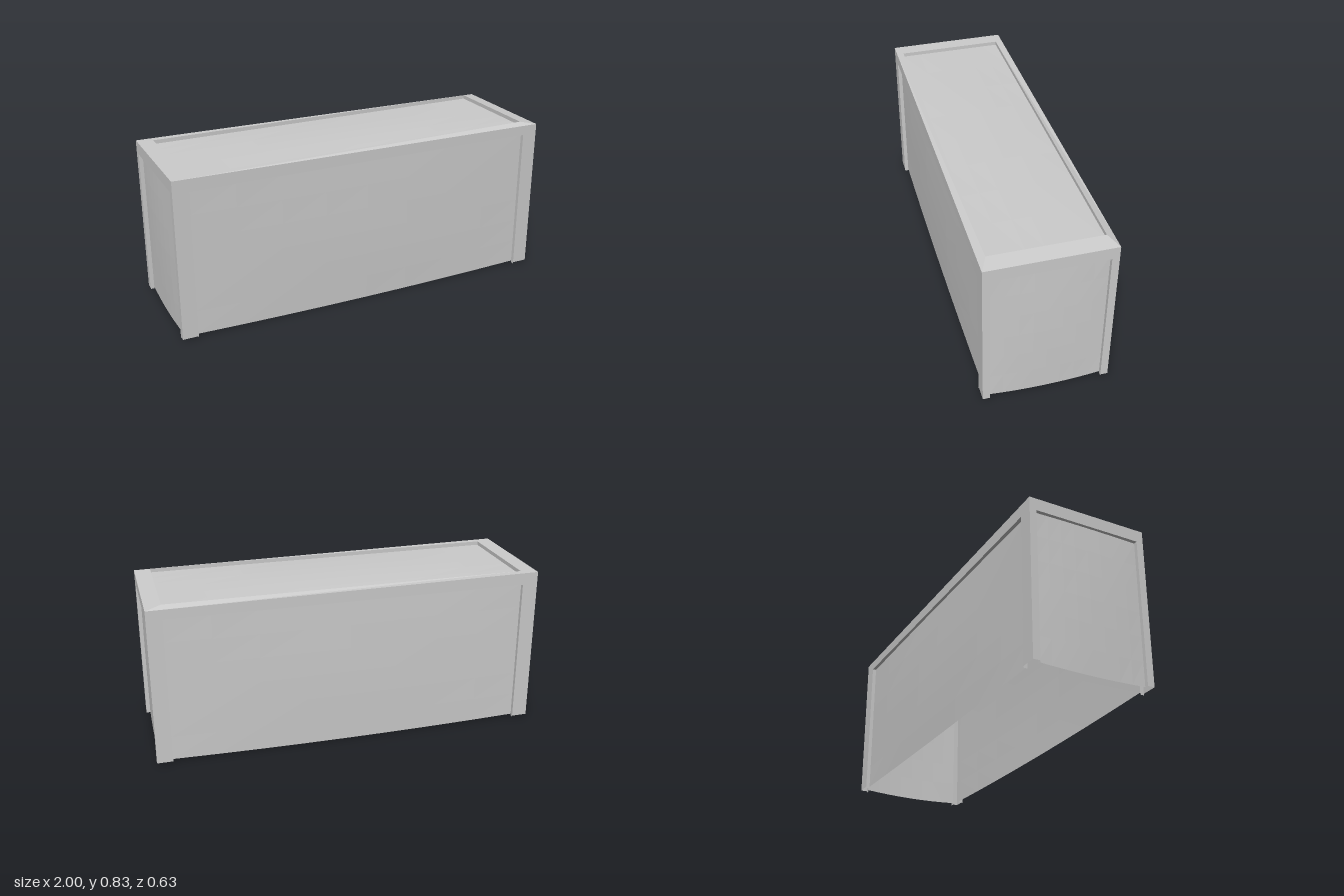
import * as THREE from 'three';

const W = 2, D = 0.626, H = 0.827;   // overall width, depth, height
const RECESS = 0.02;                 // how far panels sit behind the frame

const material = new THREE.MeshStandardMaterial({
  color: 0xcccccc, flatShading: true, side: THREE.DoubleSide,
});

// Rim sags slightly towards the left end
function sag(geometry) {
  const p = geometry.attributes.position;
  for (let i = 0; i < p.count; i++) {
    const t = THREE.MathUtils.clamp((p.getX(i) - 0.92) / 0.08, 0, 1);
    p.setY(i, p.getY(i) - 0.013 * t * p.getY(i) / H);
  }
  geometry.computeVertexNormals();
  return geometry;
}

// One face of the thin shell: flat border, narrow reveal and a softly bowed
// recessed panel. Drawn in XY facing +z, standing on y = 0, then placed by matrix.
function shellFace(name, w, h, side, top, open, matrix) {
  const group = new THREE.Group();
  group.name = name;
  const add = (part, geometry) => {
    const mesh = new THREE.Mesh(sag(geometry.applyMatrix4(matrix)), material);
    mesh.name = part;
    group.add(mesh);
  };
  const x = w / 2, xi = x - side, yi = h - top;
  const y0 = open ? 0 : top, foot = open ? 0.008 : 0;
  const v = (a, b) => new THREE.Vector2(a, b);

  // Border: a U upside down on the walls, a closed ring on the top
  let shape;
  if (open) {
    shape = new THREE.Shape([v(-x, foot), v(-xi, foot), v(-xi, yi), v(xi, yi),
      v(xi, foot), v(x, foot), v(x, h), v(-x, h)]);
  } else {
    shape = new THREE.Shape([v(-x, 0), v(x, 0), v(x, h), v(-x, h)]);
    shape.holes.push(new THREE.Path([v(-xi, y0), v(-xi, yi), v(xi, yi), v(xi, y0)]));
  }
  add('border', new THREE.ShapeGeometry(shape));

  // Reveals stepping back from the border to the panel
  for (const s of [-1, 1]) {
    add('sideReveal', new THREE.PlaneGeometry(RECESS, yi - y0)
      .rotateY(-s * Math.PI / 2).translate(s * xi, (yi + y0) / 2, -RECESS / 2));
  }
  const ends = open ? [[yi, 1]] : [[yi, 1], [y0, -1]];
  for (const [y, s] of ends) {
    add('endReveal', new THREE.PlaneGeometry(2 * xi, RECESS)
      .rotateX(s * Math.PI / 2).translate(0, y, -RECESS / 2));
  }

  // Panel, bowed outward a little; open ones also dip at the bottom edge
  const panel = new THREE.PlaneGeometry(2 * xi, yi - y0, 8, 6).translate(0, (yi + y0) / 2, -RECESS);
  const p = panel.attributes.position;
  for (let i = 0; i < p.count; i++) {
    const u = p.getX(i) / xi, t = (p.getY(i) - y0) / (yi - y0);
    const rise = open ? Math.sin(Math.PI * (0.15 + 0.7 * t)) : Math.sin(Math.PI * t);
    p.setZ(i, -RECESS + 0.01 * (1 - u * u) * rise);
    if (open) p.setY(i, p.getY(i) + 0.01 * u * u * (1 - t));
  }
  add('panel', panel);
  return group;
}

export function createModel() {
  const model = new THREE.Group();
  model.name = 'openBottomedCase';
  const place = (angle, dist) => new THREE.Matrix4().makeRotationY(angle)
    .multiply(new THREE.Matrix4().makeTranslation(0, 0, dist));

  // Long walls and end walls
  model.add(shellFace('frontWall', W, H, 0.08, 0.063, true, place(0, D / 2)));
  model.add(shellFace('backWall', W, H, 0.08, 0.063, true, place(Math.PI, D / 2)));
  model.add(shellFace('leftWall', D, H, 0.036, 0.063, true, place(Math.PI / 2, W / 2)));
  model.add(shellFace('rightWall', D, H, 0.036, 0.063, true, place(-Math.PI / 2, W / 2)));

  // Top, laid flat
  const lid = new THREE.Matrix4().makeTranslation(0, H, D / 2)
    .multiply(new THREE.Matrix4().makeRotationX(-Math.PI / 2));
  model.add(shellFace('top', W, D, 0.08, 0.037, false, lid));
  return model;
}
